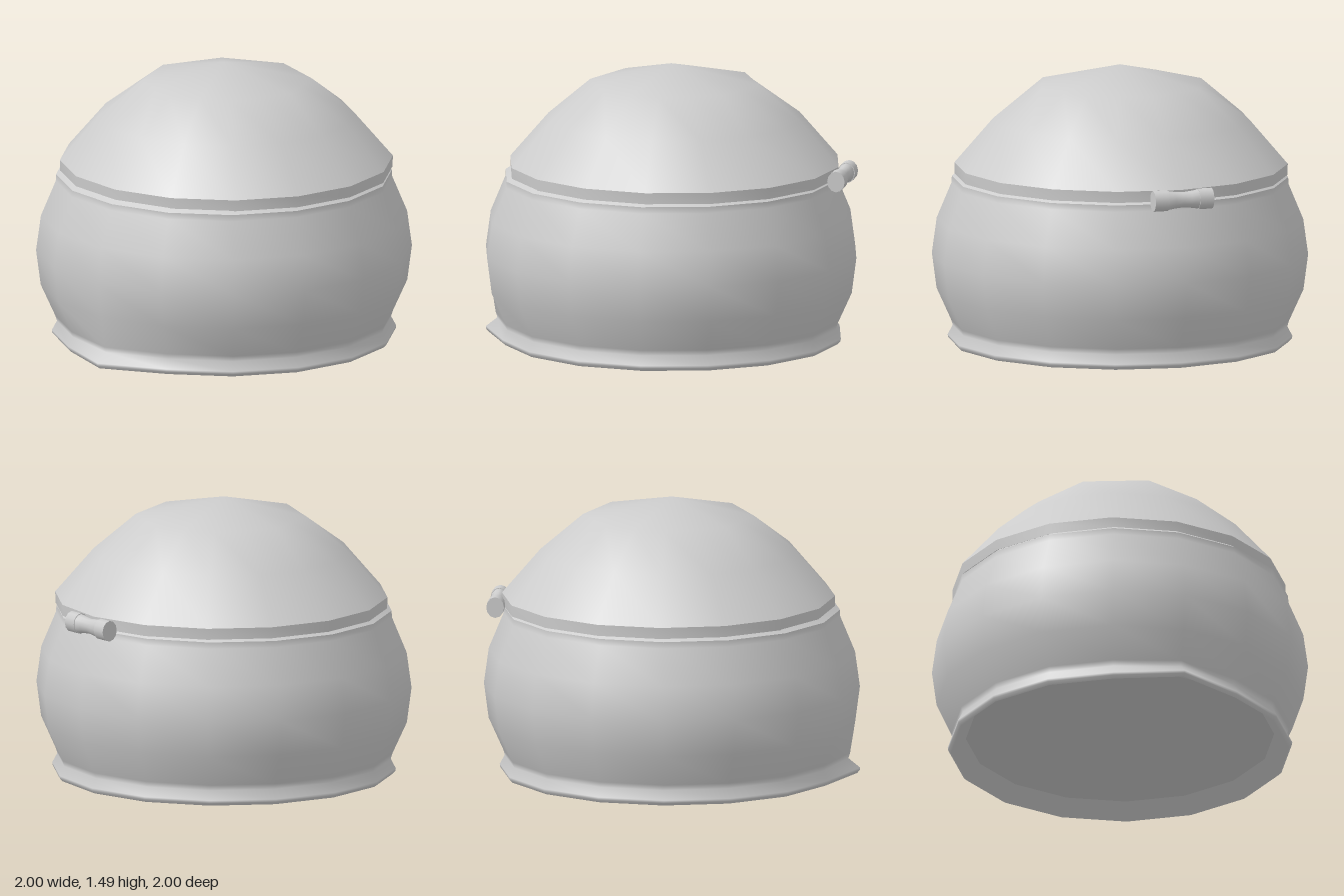
import * as THREE from 'three';
import { mergeVertices } from 'three/addons/utils/BufferGeometryUtils.js';

const SIDES = 16;
const TURN = 0.04; // slight twist of the sixteen-sided pot

export function createModel() {
  const group = new THREE.Group();
  const grey = new THREE.MeshStandardMaterial({ color: 0xcccccc });
  grey.name = 'plain grey';

  // Revolve [radius, height] pairs, listed from the bottom outwards and up;
  // reshape may move each vertex, given its position and its side number
  const lathe = (name, profile, { parent = group, sides = SIDES, reshape } = {}) => {
    const points = profile.map(([r, y]) => new THREE.Vector2(r, y));
    const raw = new THREE.LatheGeometry(points, sides, TURN);
    const pos = raw.attributes.position;
    const v = new THREE.Vector3();
    for (let i = 0; reshape && i < pos.count; i++) {
      reshape(v.fromBufferAttribute(pos, i), Math.floor(i / points.length));
      pos.setXYZ(i, v.x, v.y, v.z);
    }
    raw.deleteAttribute('uv');
    raw.deleteAttribute('normal');
    const geometry = mergeVertices(raw);
    geometry.computeVertexNormals();
    const mesh = new THREE.Mesh(geometry, grey);
    mesh.name = name;
    parent.add(mesh);
  };

  // One corner of the foot is drawn out to the right-hand side
  const drawOut = (v) => {
    if (v.y < 0.2 && v.x < -0.87 && Math.abs(v.z) < 0.1) v.x -= v.y < 0.04 ? 0.085 : 0.05;
  };

  // Round bellied pot with a flared, hollow foot
  lathe('potBody', [
    [0.9, 0], [0.914, 0.015], [0.916, 0.03], [0.889, 0.08], [0.898, 0.11], [0.975, 0.28],
    [1.0, 0.47], [0.974, 0.66], [0.895, 0.85], [0.894, 0.885],
  ], { reshape: drawOut });
  lathe('footInside', [[0.82, 0.08], [0.9, 0]], { reshape: drawOut });
  lathe('potFloor', [[0, 0.08], [0.82, 0.08]]);
  lathe('potShoulder', [[0.894, 0.885], [0.862, 0.907]]);

  // Domed lid, resting a little off centre
  const lid = new THREE.Group();
  lid.name = 'lid';
  lid.position.x = 0.018;
  group.add(lid);
  lathe('lidUnderside', [[0.8, 0.9], [0.884, 0.9]], { parent: lid });
  lathe('lidRim', [[0.884, 0.9], [0.886, 0.96]], { parent: lid });
  // The crown narrows to eight sides, with its peak over the middle of the pot
  lathe('lidDome', [[0.886, 0.96], [0.68, 1.2], [0.455, 1.39], [0, 1.49]], {
    parent: lid,
    reshape: (v, side) => {
      if (v.y > 1.48) v.x -= 0.018;
      else if (v.y > 1.3 && side % 2) v.set(v.x * 0.924, v.y, v.z * 0.924);
    },
  });

  // Spool-shaped handle on the left edge of the lid
  const handle = new THREE.Group();
  handle.name = 'handle';
  handle.position.set(0.925, 0.911, -0.037);
  handle.rotation.x = Math.PI / 2;
  handle.scale.x = 0.85;
  group.add(handle);
  for (const end of [-1, 1]) {
    const knob = new THREE.Mesh(new THREE.CylinderGeometry(0.056, 0.056, 0.078, 12), grey);
    knob.name = 'handleEnd';
    knob.position.y = end * 0.125;
    handle.add(knob);
  }
  lathe('handleGrip', [[0.052, -0.087], [0.045, -0.045], [0.041, 0], [0.045, 0.045], [0.052, 0.087]],
    { parent: handle, sides: 12 });

  return group;
}
